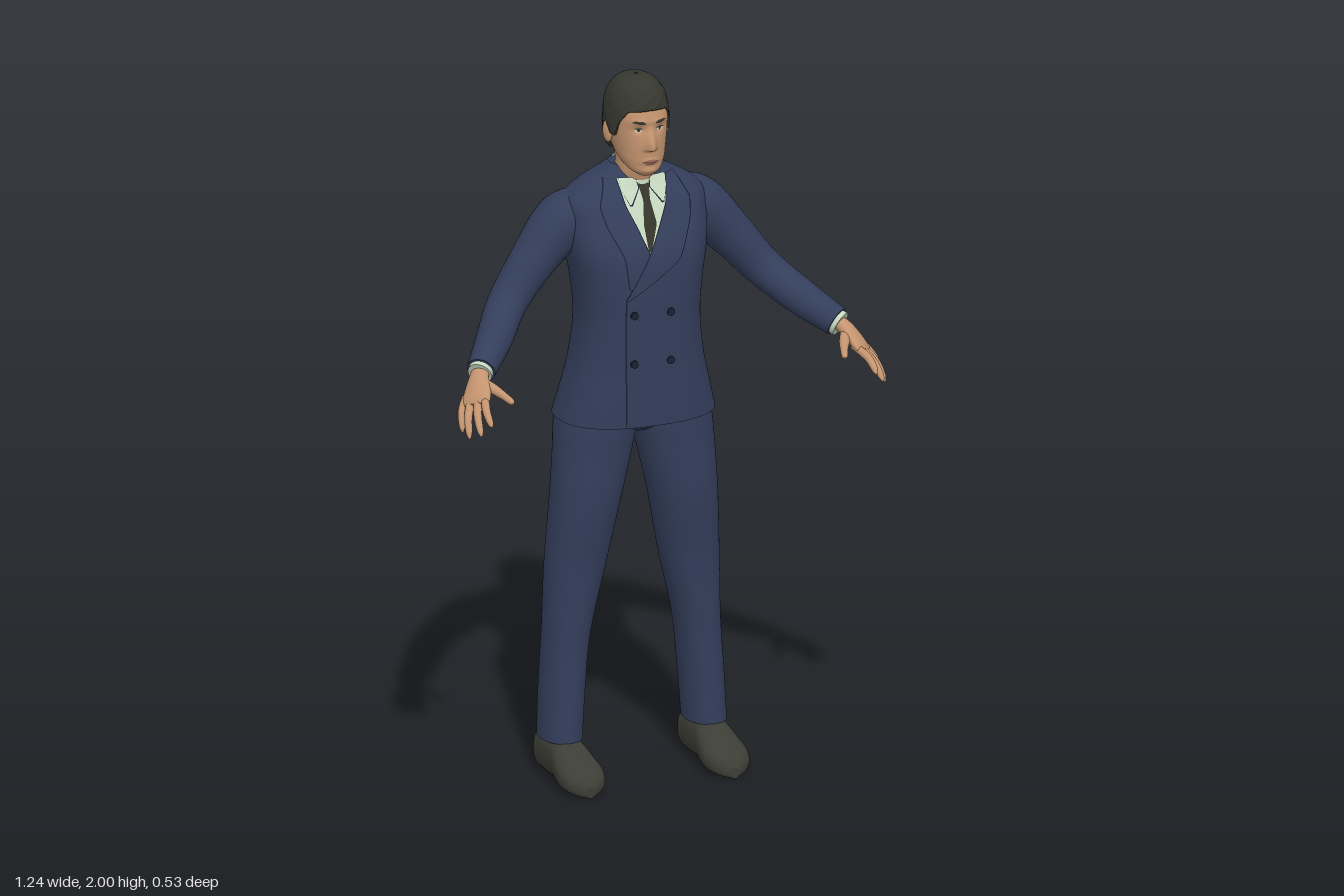
import * as THREE from 'three';

const V = (x, y, z) => new THREE.Vector3(x, y, z);
const mat = (name, color, side = THREE.FrontSide) => {
  const m = new THREE.MeshStandardMaterial({ color, side });
  m.name = name;
  return m;
};
const gauss = (d, w) => Math.exp(-(d * d) / (w * w));
const smooth = THREE.MathUtils.smoothstep;

// Smooth interpolation through rows of [key, ...values]
function through(rows, Kind = THREE.CubicInterpolant) {
  const size = rows[0].length - 1;
  const it = new Kind(new Float32Array(rows.map(r => r[0])), new Float32Array(rows.flatMap(r => r.slice(1))), size);
  return k => Array.from(it.evaluate(k));
}

// Closed skin over a stack of rings, always facing outwards; s = -1 mirrors it
function skin(rings, s = 1, capped = true) {
  const m = rings[0].length, pts = rings.flat().map(p => V(p.x * s, p.y, p.z)), idx = [];
  for (let i = 0; i < rings.length - 1; i++) for (let j = 0; j < m; j++) {
    const a = i * m + j, b = i * m + (j + 1) % m;
    idx.push(a, b, a + m, b, b + m, a + m);
  }
  if (capped) [0, rings.length - 1].forEach(r => {
    const start = pts.length, mid = V(0, 0, 0);
    for (let j = 0; j < m; j++) {
      pts.push(pts[r * m + j].clone());
      mid.addScaledVector(pts[r * m + j], 1 / m);
    }
    pts.push(mid);
    for (let j = 0; j < m; j++) {
      const a = start + j, b = start + (j + 1) % m;
      idx.push(...(r ? [a, b, start + m] : [b, a, start + m]));
    }
  });
  const c = pts.reduce((t, p) => t.addScaledVector(p, 1 / pts.length), V(0, 0, 0));
  let vol = 0;
  for (let i = 0; i < idx.length; i += 3) {
    const [a, b, d] = [0, 1, 2].map(k => pts[idx[i + k]].clone().sub(c));
    vol += a.dot(b.cross(d));
  }
  if (vol < 0) idx.reverse();
  const g = new THREE.BufferGeometry().setFromPoints(pts);
  g.setIndex(idx);
  g.computeVertexNormals();
  return g;
}

// Superellipse unit point
const oval = (a, p) => [Math.cos(a), Math.sin(a)].map(v => Math.sign(v) * Math.abs(v) ** (2 / p));
const turn = (n, fn) => Array.from({ length: n }, (_, j) => fn((j / n) * Math.PI * 2));

// Upright body from rows [y, cx, cz, rx, rz]
function pillar(rows, p, s = 1, bump = () => 0, steps = 60, n = 64) {
  const f = through(rows), y0 = rows[0][0], y1 = rows.at(-1)[0], rings = [];
  for (let i = 0; i <= steps; i++) {
    const y = y0 + (y1 - y0) * i / steps, [cx, cz, rx, rz] = f(y);
    rings.push(turn(n, a => {
      const [u, w] = oval(a, p), x = cx + rx * u;
      return V(x, y, cz + rz * w + (w > 0 ? bump(x, y) : 0));
    }));
  }
  return skin(rings, s);
}
// Depth of a pillar's front (side 1) or back (side -1) at x, y
function depth(rows, p, bump = () => 0) {
  const f = through(rows);
  return (x, y, side = 1) => {
    const [cx, cz, rx, rz] = f(y), u = Math.min(1, Math.abs((x - cx) / rx));
    return cz + side * rz * (1 - u ** p) ** (1 / p) + (side > 0 ? bump(x, y) : 0);
  };
}

// Limb along rows [x, y, z, ra, rb]; ra is measured along "across"
function limb(rows, s = 1, across = V(0, 1, 0), steps = 30, n = 28) {
  const f = through(rows.map((r, i) => [i, ...r])), end = rows.length - 1, rings = [];
  for (let i = 0; i <= steps; i++) {
    const t = end * i / steps, [x, y, z, ra, rb] = f(t);
    const T = V(...f(Math.min(end, t + 0.02))).sub(V(...f(Math.max(0, t - 0.02)))).normalize();
    const A = across.clone().addScaledVector(T, -across.dot(T)).normalize(), B = T.clone().cross(A);
    rings.push(turn(n, a => V(x, y, z).addScaledVector(A, ra * Math.cos(a)).addScaledVector(B, rb * Math.sin(a))));
  }
  return skin(rings, s);
}

// Thin plate lying on a surface, from rows [y, xLeft, xRight] going down
function patch(surf, rows, off, side = 1) {
  const f = through(rows.map(([y, a, b]) => [-y, a, b]), THREE.LinearInterpolant);
  const R = 24, C = 10, pts = [], idx = [], y0 = rows[0][0], y1 = rows.at(-1)[0];
  for (let i = 0; i <= R; i++) for (let j = 0; j <= C; j++) {
    const y = y0 + (y1 - y0) * i / R, [a, b] = f(-y), x = a + (b - a) * j / C;
    pts.push(V(x, y, surf(x, y, side) + side * off));
    if (i < R && j < C) {
      const k = i * (C + 1) + j, d = k + C + 1;
      idx.push(...(side > 0 ? [k, d, k + 1, k + 1, d, d + 1] : [k, k + 1, d, k + 1, d + 1, d]));
    }
  }
  const g = new THREE.BufferGeometry().setFromPoints(pts);
  g.setIndex(idx);
  g.computeVertexNormals();
  return g;
}

const TORSO = [
  [1.03, 0, -.1025, .225, .1625], [1.1, 0, -.094, .207, .156], [1.2, 0, -.086, .184, .149], [1.32, 0, -.0805, .172, .1445],
  [1.42, 0, -.0825, .18, .1475], [1.52, 0, -.091, .197, .146], [1.6, 0, -.1075, .205, .1275], [1.66, 0, -.116, .195, .104],
  [1.69, 0, -.119, .155, .089], [1.73, 0, -.115, .085, .065], [1.745, 0, -.112, .066, .052]];
const HEAD = [
  [1.733, 0, -.015, .018, .018], [1.745, 0, -.0225, .038, .0375], [1.77, 0, -.0455, .058, .0645], [1.81, 0, -.069, .07, .091],
  [1.86, 0, -.0775, .077, .0975], [1.91, 0, -.0785, .078, .0965], [1.95, 0, -.0835, .068, .0815], [1.98, 0, -.0825, .04, .0475]];
const LEG = [
  [.11, .212, -.115, .058, .08], [.25, .204, -.119, .06, .08], [.4, .192, -.12, .063, .08], [.6, .167, -.115, .083, .085],
  [.8, .141, -.102, .097, .098], [.95, .118, -.104, .11, .104], [1, .111, -.108, .113, .11], [1.08, .105, -.1, .105, .1]];
const SHOE = [
  [-.2, .02, .07], [-.19, .042, .11], [-.15, .052, .125], [-.06, .053, .12], [0, .062, .095],
  [.05, .064, .075], [.09, .045, .056], [.108, .014, .03]];

// Nose, brow, eye sockets, lips and chin
function features(x, y) {
  const ax = Math.abs(x), n = 1 - smooth(y, 1.825, 1.885);
  return .026 * n * smooth(y, 1.806, 1.818) * gauss(x, .008 + .006 * n)
    - .006 * gauss(ax - .031, .014) * gauss(y - 1.869, .01) + .004 * gauss(ax - .028, .025) * gauss(y - 1.892, .008)
    + .005 * gauss(x, .02) * gauss(y - 1.778, .009) + .004 * gauss(x, .02) * gauss(y - 1.75, .01);
}

// Short hair with a hairline that dips at the sideburns and nape
function hairGeometry() {
  const line = through([[0, .42], [40, .38], [58, .1], [66, -.2], [80, -.18], [88, .02], [100, -.05], [112, -.45], [130, -.72], [180, -.76]],
    THREE.LinearInterpolant);
  const rings = [], N = 36;
  for (let i = 0; i <= N + 1; i++) rings.push(turn(96, a => {
    const deg = Math.abs(a > Math.PI ? a - 2 * Math.PI : a) * 180 / Math.PI;
    const low = Math.acos(line(Math.min(deg, 180))[0]), phi = .02 + (low - .02) * Math.min(i, N) / N, h = Math.cos(phi);
    let r = (1 - Math.abs(h) ** 2.5) ** .4;
    r *= i > N ? .84 : 1 + .014 * Math.sin(a * 9 + phi * 7) * Math.sin(phi * 17 + a * 2);
    return V(.088 * r * Math.sin(a), 1.87 + .13 * h, -.085 + .11 * r * Math.cos(a));
  }));
  return skin(rings, 1, false);
}

export function createModel() {
  const root = new THREE.Group();
  root.name = 'suitedMan';
  const D = THREE.DoubleSide;
  const suit = mat('navySuit', 0x333e5b, D), seam = mat('darkSeam', 0x1b2133, D), shirt = mat('paleShirt', 0xc6d8c0, D);
  const tieM = mat('oliveTie', 0x35352b, D), skinM = mat('skin', 0xc4946f, D), lipM = mat('lips', 0x9c6553, D);
  const hairM = mat('hair', 0x36372e, D), shoeM = mat('shoeLeather', 0x3c3d35), eyeM = mat('eyeWhite', 0xcfc8bc, D);
  const add = (name, geo, m) => {
    const o = new THREE.Mesh(geo, m);
    o.name = name;
    root.add(o);
    return o;
  };
  const chest = depth(TORSO, 2.4), face = depth(HEAD, 2.2, features);

  // Jacket body
  add('jacket', pillar(TORSO, 2.4, 1, undefined, 90, 96), suit);
  add('shirtFront', patch(chest, [[1.715, -.07, .07], [1.69, -.08, .08], [1.54, -.022, -.005], [1.52, -.017, -.016]], .002), shirt);
  add('tie', patch(chest, [[1.7, -.016, .016], [1.66, -.01, .01], [1.6, -.021, .017], [1.53, -.019, -.012]], .0045), tieM);
  // Lapels, each with a slightly larger dark edge beneath
  const lapels = {
    rightLapel: [[[1.715, -.1, -.073], [1.65, -.13, -.064], [1.6, -.12, -.044], [1.52, -.085, -.016], [1.43, -.075, -.068]], .004],
    leftLapel: [[[1.715, .073, .1], [1.65, .057, .13], [1.6, .029, .12], [1.5, -.028, .07], [1.4, -.085, -.08]], .006]
  };
  for (const [name, [rows, off]] of Object.entries(lapels)) {
    add(name, patch(chest, rows, off), suit);
    add(name + 'Edge', patch(chest, rows.map(([y, a, b]) => [y, a - .003, b + .003]), off - .001), seam);
  }
  add('frontEdge', patch(chest, [[1.4, -.087, -.083], [1.035, -.087, -.083]], .002), seam);
  for (const x of [-.063, .042]) for (const y of [1.355, 1.215]) {
    const b = add('button', new THREE.CylinderGeometry(.011, .011, .007, 20), seam);
    b.rotation.x = Math.PI / 2;
    b.position.set(x, y, chest(x, y) + .002);
  }

  // Neck and shirt collar, higher at the nape
  add('neck', pillar([[1.64, 0, -.1, .062, .06], [1.7, 0, -.095, .06, .06], [1.75, 0, -.085, .056, .062], [1.81, 0, -.09, .06, .06]], 2), skinM);
  add('shirtCollar', skin([[1.68, .07], [1.722, .064]].map(([y, r]) =>
    turn(48, a => V(r * Math.cos(a), y - .025 * Math.sin(a) + .012, -.096 + (r + .001) * Math.sin(a)))), 1, false), shirt);

  // Head and face
  add('head', pillar(HEAD, 2.2, 1, features, 100, 112), skinM);
  add('hair', hairGeometry(), hairM);
  add('lips', patch(face, [[1.785, -.007, .007], [1.778, -.024, .024], [1.769, -.009, .009]], .0015), lipM);
  add('mouthLine', patch(face, [[1.7788, -.023, .023], [1.7772, -.023, .023]], .0025), tieM);

  // Pelvis joins the trouser legs
  const pelvis = add('trouserSeat', new THREE.SphereGeometry(1, 32, 20), suit);
  pelvis.scale.set(.12, .06, .1);
  pelvis.position.set(0, 1.03, -.108);

  const shoeAt = through(SHOE);
  for (const s of [1, -1]) {
    const side = s > 0 ? 'left' : 'right';
    const mir = rows => rows.map(([y, a, b]) => s > 0 ? [y, a, b] : [y, -b, -a]);
    // Face details
    add(side + 'Eye', patch(face, mir([[1.874, .026, .036], [1.869, .02, .043], [1.864, .026, .037]]), .0015), eyeM);
    add(side + 'Iris', patch(face, mir([[1.874, .028, .034], [1.869, .0265, .0355], [1.8645, .029, .033]]), .0025), tieM);
    add(side + 'Lashes', patch(face, mir([[1.8765, .025, .037], [1.873, .019, .044]]), .003), tieM);
    add(side + 'Eyebrow', patch(face, mir([[1.897, .024, .042], [1.892, .015, .05], [1.888, .014, .03]]), .002), hairM);
    const ear = add(side + 'Ear', new THREE.SphereGeometry(1, 20, 16), skinM);
    ear.scale.set(.01, .031, .018);
    ear.rotation.set(-.15, s * -.25, 0);
    ear.position.set(s * .084, 1.845, -.083);
    // Collar leaf and back vent
    add(side + 'CollarLeaf', patch(chest, mir([[1.718, .022, .066], [1.69, .017, .066], [1.652, .045, .05]]), .0055), shirt);
    add(side + 'CollarEdge', patch(chest, mir([[1.718, .019, .066], [1.69, .014, .066], [1.648, .043, .05]]), .005), seam);
    add(side + 'Vent', patch(chest, mir([[1.2, .138, .141], [1.035, .158, .163]]), .002, -1), seam);
    // Sleeve and shirt cuff
    add(side + 'Sleeve', limb([[.13, 1.605, -.135, .07, .08], [.2, 1.583, -.13, .077, .082], [.29, 1.49, -.115, .064, .064],
      [.375, 1.39, -.088, .054, .055], [.45, 1.322, -.002, .05, .05], [.522, 1.267, .08, .042, .04]], s, undefined, 50, 40), suit);
    add(side + 'Cuff', limb([[.51, 1.276, .066, .036, .034], [.53, 1.261, .089, .036, .034]], s, undefined, 4), shirt);
    // Hand
    const across = V(.045, -.015, -.055);
    add(side + 'Palm', limb([[.518, 1.27, .075, .026, .021], [.537, 1.256, .1, .028, .02], [.552, 1.234, .128, .038, .019],
      [.566, 1.21, .152, .043, .015], [.573, 1.2, .163, .034, .009]], s, across), skinM);
    [[.565, 1.168, .262], [.59, 1.14, .248], [.61, 1.124, .212], [.613, 1.13, .17]].forEach((tip, i) => {
      const base = V(.548, 1.213, .172).lerp(V(.592, 1.198, .124), i / 3), end = V(...tip), r = i === 3 ? .0095 : .011;
      const at = (t, k) => {
        const p = base.clone().lerp(end, t);
        return [p.x + .006 * Math.sin(Math.PI * t), p.y + .006 * Math.sin(Math.PI * t), p.z, r * k, r * k];
      };
      add(side + 'Finger', limb([at(-.2, .9), at(.15, 1.05), at(.5, 1), at(.85, .8), at(1, .25)], s, undefined, 20, 14), skinM);
    });
    add(side + 'Thumb', limb([[.54, 1.25, .11, .014, .016], [.516, 1.236, .152, .014, .015], [.5, 1.225, .188, .011, .011],
      [.49, 1.217, .217, .009, .009], [.487, 1.214, .227, .003, .003]], s, undefined, 24, 16), skinM);
    // Trouser leg and shoe
    add(side + 'TrouserLeg', pillar(LEG, 2.15, s), suit);
    add(side + 'Shoe', skin(Array.from({ length: 41 }, (_, i) => {
      const z = -.2 + .308 * i / 40, [w, h] = shoeAt(z);
      return turn(36, a => {
        const [u, v] = oval(a, 2.5);
        return V(.212 + w * u, Math.max(0, h / 2 + h / 2 * v), z);
      });
    }), s), shoeM);
  }
  return root;
}
